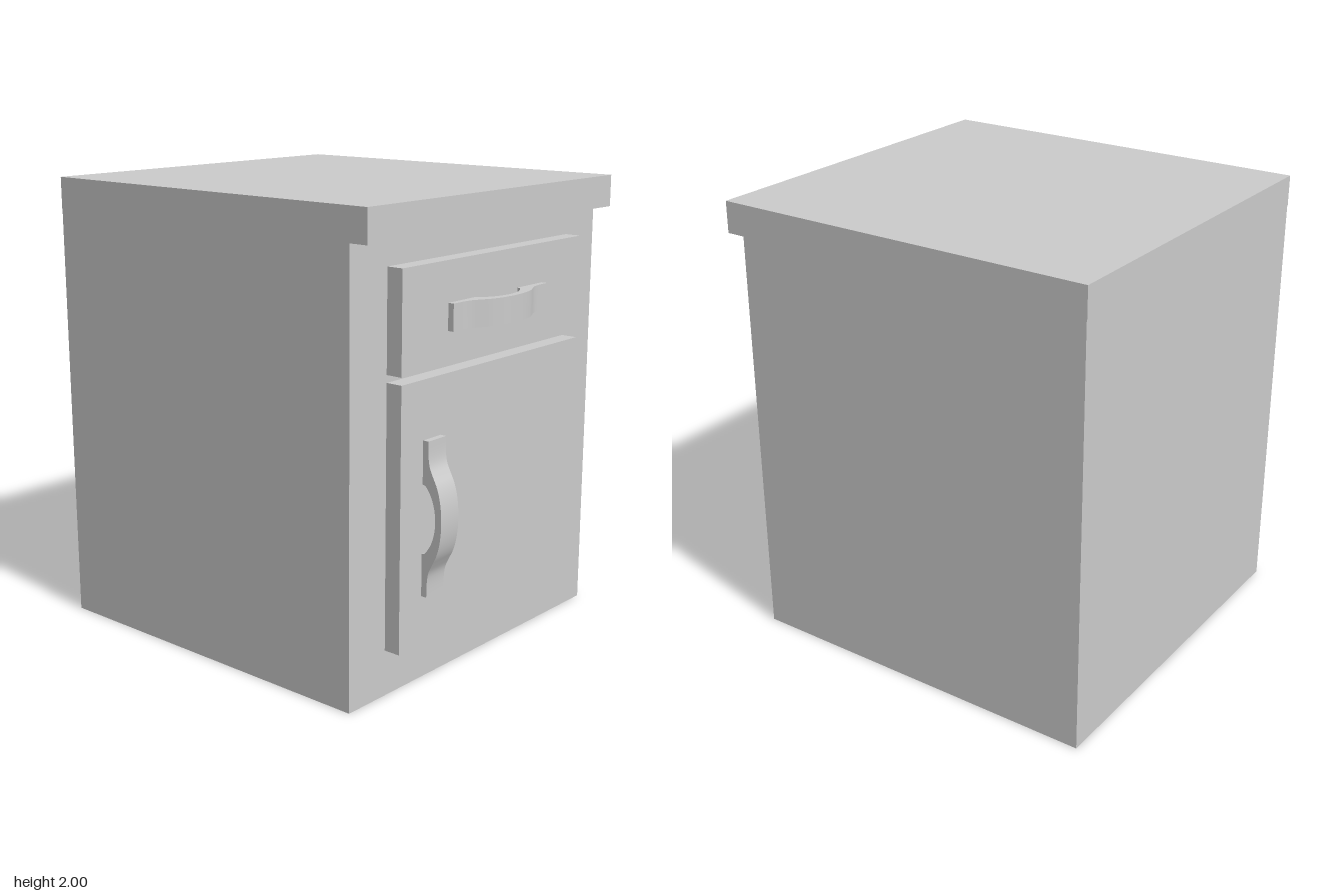
import * as THREE from 'three';
import { toCreasedNormals } from 'three/addons/utils/BufferGeometryUtils.js';

const material = new THREE.MeshStandardMaterial({ color: 0xcccccc, side: THREE.DoubleSide });

// Box given by its limits; openFace drops one side (order +x -x +y -y +z -z)
function box(name, [x0, x1], [y0, y1], [z0, z1], openFace = -1) {
  const geometry = new THREE.BoxGeometry(x1 - x0, y1 - y0, z1 - z0);
  if (openFace >= 0) {
    const index = Array.from(geometry.index.array);
    index.splice(openFace * 6, 6);
    geometry.setIndex(index);
    geometry.clearGroups();
  }
  geometry.translate((x0 + x1) / 2, (y0 + y1) / 2, (z0 + z1) / 2);
  const mesh = new THREE.Mesh(geometry, material);
  mesh.name = name;
  return mesh;
}

// Bowed pull with flat feet, running along x and standing out along +z
function handleGeometry() {
  const s = new THREE.Shape();
  s.moveTo(-0.325, 0);
  s.lineTo(-0.145, 0);
  s.lineTo(-0.142, 0.013);
  s.bezierCurveTo(-0.11, 0.045, -0.06, 0.065, 0, 0.065);
  s.bezierCurveTo(0.06, 0.065, 0.11, 0.045, 0.142, 0.013);
  s.lineTo(0.145, 0);
  s.lineTo(0.325, 0);
  s.lineTo(0.325, 0.026);
  s.bezierCurveTo(0.22, 0.026, 0.22, 0.033, 0.17, 0.058);
  s.bezierCurveTo(0.13, 0.082, 0.07, 0.095, 0, 0.095);
  s.bezierCurveTo(-0.07, 0.095, -0.13, 0.082, -0.17, 0.058);
  s.bezierCurveTo(-0.22, 0.033, -0.22, 0.026, -0.325, 0.026);
  s.closePath();
  const geometry = new THREE.ExtrudeGeometry(s, { depth: 0.112, bevelEnabled: false, curveSegments: 12 });
  geometry.translate(0, 0, -0.056);
  geometry.rotateX(Math.PI / 2);
  return toCreasedNormals(geometry, Math.PI / 6);
}

export function createModel() {
  const model = new THREE.Group();
  model.name = 'bedsideCabinet';

  // Carcass is hollow and open underneath
  model.add(box('carcass', [-0.83, 0.83], [0, 1.862], [-0.913, 0.747], 3));
  model.add(box('worktop', [-0.83, 0.83], [1.862, 2], [-0.915, 0.832]));

  // Fronts are shells open at the back, set through the front wall
  model.add(box('drawerFront', [-0.612, 0.612], [1.333, 1.752], [0.645, 0.82], 5));
  model.add(box('door', [-0.612, 0.612], [0.196, 1.302], [0.645, 0.82], 5));

  // Pulls: level on the drawer, upright on the door
  const pull = handleGeometry();
  const drawerHandle = new THREE.Mesh(pull, material);
  drawerHandle.name = 'drawerHandle';
  drawerHandle.position.set(0, 1.527, 0.82);
  const doorHandle = new THREE.Mesh(pull, material);
  doorHandle.name = 'doorHandle';
  doorHandle.position.set(-0.417, 0.732, 0.82);
  doorHandle.rotation.z = Math.PI / 2;
  model.add(drawerHandle, doorHandle);

  return model;
}
